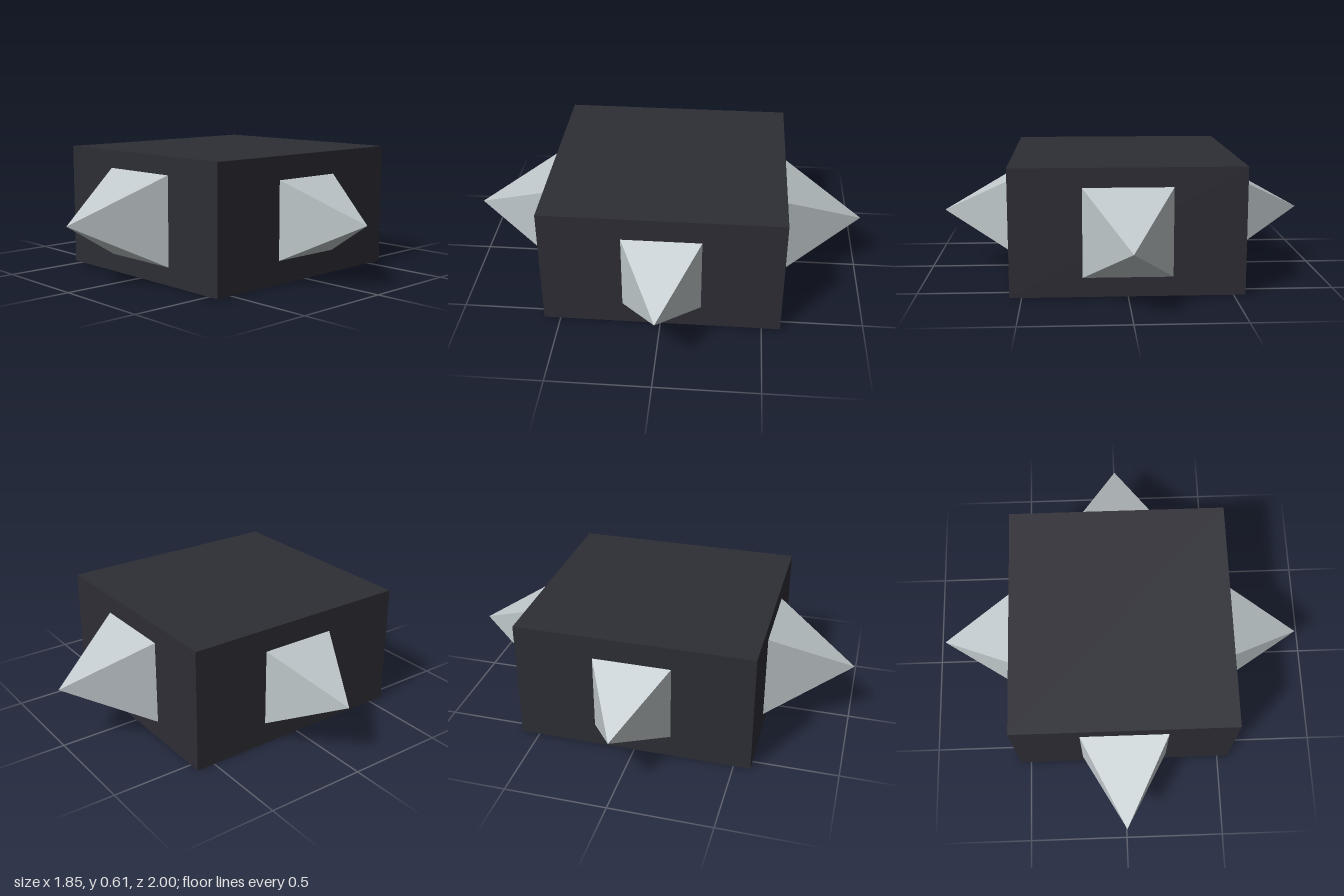
import * as THREE from 'three';

export function createModel() {
  const model = new THREE.Group();
  const dark = new THREE.MeshStandardMaterial({ color: 0x2d2d35 });
  dark.name = 'dark charcoal';
  const silver = new THREE.MeshStandardMaterial({ color: 0xc0c8cb });
  silver.name = 'pale silver';

  // Solid block
  const midY = 0.307, midZ = -0.005;
  const body = new THREE.Mesh(new THREE.BoxGeometry(1.115, 0.614, 1.175), dark);
  body.name = 'body';
  body.position.set(0, midY, midZ);
  model.add(body);

  // Square pyramid with flat faces: base on the block, tip pointing outward
  function addSpike(name, half, length, x, z, turn) {
    const cone = new THREE.ConeGeometry(half * Math.SQRT2, length, 4);
    cone.rotateY(Math.PI / 4);
    cone.translate(0, length / 2, 0);
    cone.rotateX(Math.PI / 2);
    const geometry = cone.toNonIndexed();
    geometry.computeVertexNormals();
    const spike = new THREE.Mesh(geometry, silver);
    spike.name = name;
    spike.position.set(x, midY, z);
    spike.rotation.y = turn;
    model.add(spike);
  }

  addSpike('frontSpike', 0.219, 0.418, 0, 0.582, 0);
  addSpike('backSpike', 0.214, 0.408, 0, -0.592, Math.PI);
  addSpike('leftSpike', 0.193, 0.368, 0.557, -0.007, Math.PI / 2);
  addSpike('rightSpike', 0.193, 0.368, -0.557, -0.007, -Math.PI / 2);

  return model;
}
